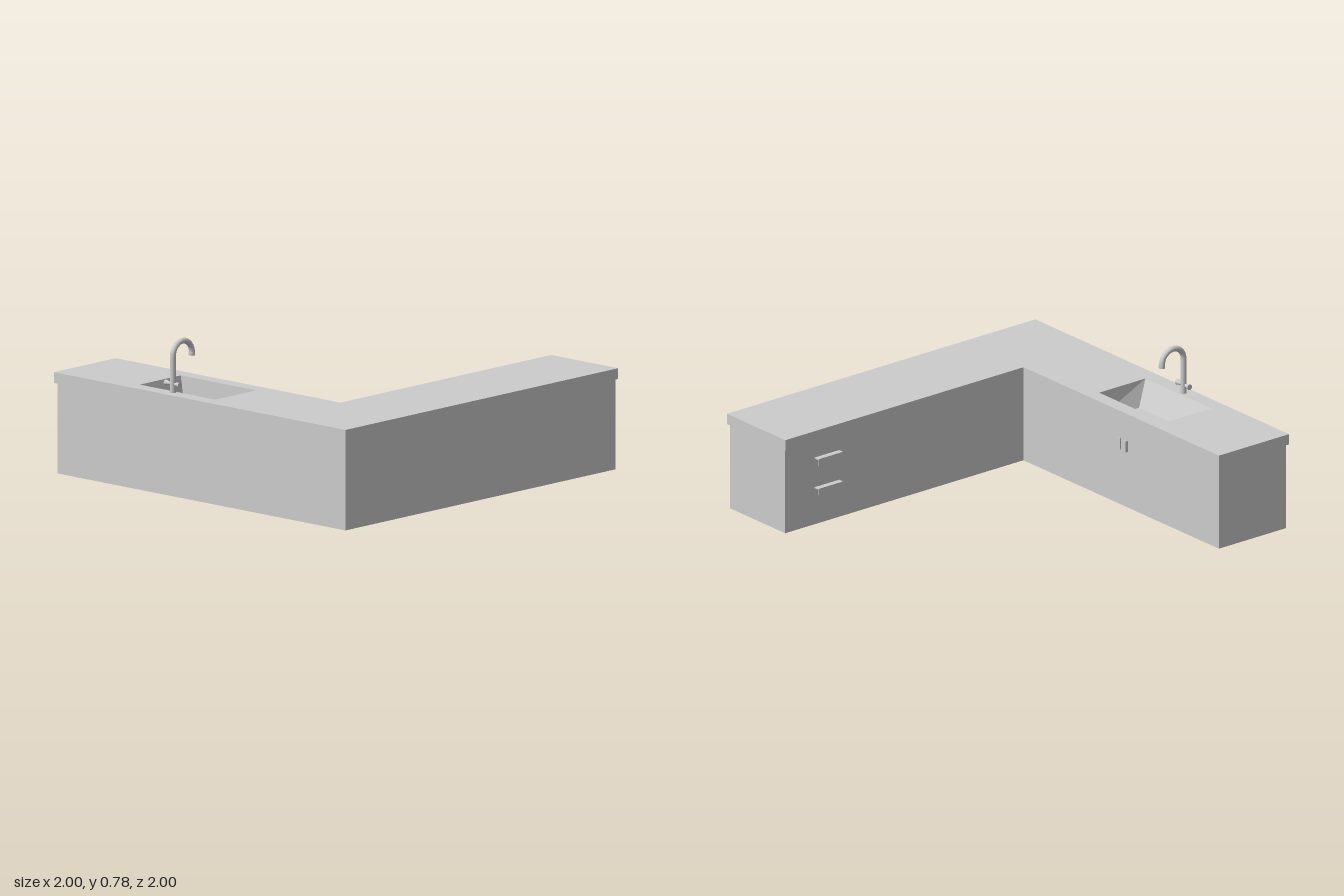
import * as THREE from 'three';

const COUNTER_TOP = 0.515, COUNTER_BOTTOM = 0.46, BASIN_FLOOR = 0.385;
const mat = new THREE.MeshStandardMaterial({ color: 0xcccccc });
const thinMat = new THREE.MeshStandardMaterial({ color: 0xcccccc, side: THREE.DoubleSide });

function add(parent, name, geometry, x = 0, y = 0, z = 0, material = mat) {
  const mesh = new THREE.Mesh(geometry, material);
  mesh.name = name;
  mesh.position.set(x, y, z);
  parent.add(mesh);
  return mesh;
}

// L-shaped outline as [x, z] pairs, anticlockwise seen from above
const outline = (endX, innerZ, innerX, endZ) =>
  [[-1, 1], [endX, 1], [endX, innerZ], [innerX, innerZ], [innerX, endZ], [-1, endZ]];

// Band of flat walls joining two matching outlines
function walls(a, ya, b, yb) {
  const pos = [];
  a.forEach((p, i) => {
    const j = (i + 1) % a.length;
    const v = [[p[0], ya, p[1]], [a[j][0], ya, a[j][1]], [b[j][0], yb, b[j][1]], [b[i][0], yb, b[i][1]]];
    for (const k of [0, 1, 2, 0, 2, 3]) pos.push(...v[k]);
  });
  const g = new THREE.BufferGeometry();
  g.setAttribute('position', new THREE.Float32BufferAttribute(pos, 3));
  g.computeVertexNormals();
  return g;
}

// Flat horizontal cap, facing up or down, with an optional hole
function cap(points, up, hole) {
  const s = up ? -1 : 1;
  const vecs = (list) => list.map(([x, z]) => new THREE.Vector2(x, s * z));
  const shape = new THREE.Shape(vecs(points));
  if (hole) shape.holes.push(new THREE.Path(vecs(hole)));
  return new THREE.ShapeGeometry(shape).rotateX(s * Math.PI / 2);
}

// Bent pull: a top plate with a lip hanging from its outer edge
function pullGeometry(length, depth, height, t) {
  const s = new THREE.Shape();
  s.moveTo(0, 0);
  s.lineTo(depth, 0);
  s.lineTo(depth, -height);
  s.lineTo(depth - t, -height);
  s.lineTo(depth - t, -t);
  s.lineTo(0, -t);
  s.closePath();
  return new THREE.ExtrudeGeometry(s, { depth: length, bevelEnabled: false }).translate(0, 0, -length / 2);
}

export function createModel() {
  const root = new THREE.Group();
  root.name = 'cornerKitchenCounter';

  const counter = outline(1, 0.54, -0.545, -1);
  const cabinet = outline(0.98, 0.565, -0.565, -0.975);
  const rim = [[-0.92, 0.035], [-0.62, 0.035], [-0.62, -0.485], [-0.92, -0.485]];
  const floor = [[-0.85, 0.0], [-0.625, 0.025], [-0.625, -0.46], [-0.85, -0.455]];

  // Worktop with the sink opening
  const worktop = new THREE.Group();
  worktop.name = 'worktop';
  root.add(worktop);
  add(worktop, 'worktopSurface', cap(counter, true, rim), 0, COUNTER_TOP, 0);
  add(worktop, 'worktopEdge', walls(counter, COUNTER_BOTTOM, counter, COUNTER_TOP));
  add(worktop, 'worktopUnderside', cap(counter, false, rim), 0, COUNTER_BOTTOM, 0);

  // Cabinet body
  const body = new THREE.Group();
  body.name = 'cabinet';
  root.add(body);
  add(body, 'cabinetWalls', walls(cabinet, 0, cabinet, COUNTER_BOTTOM));
  add(body, 'cabinetBase', cap(cabinet, false));

  // Sink basin with tapered sides
  const sink = new THREE.Group();
  sink.name = 'sink';
  root.add(sink);
  add(sink, 'basinWalls', walls(rim, COUNTER_TOP, floor, BASIN_FLOOR), 0, 0, 0, thinMat);
  add(sink, 'basinFloor', cap(floor, true), 0, BASIN_FLOOR, 0, thinMat);

  // Tap: upright post curving over into a hooked spout
  const tap = new THREE.Group();
  tap.name = 'tap';
  tap.position.set(-0.945, COUNTER_TOP, -0.235);
  root.add(tap);
  const path = new THREE.CurvePath();
  const bend = [];
  for (let i = 0; i <= 16; i++) {
    const a = Math.PI * (1 - i / 16);
    bend.push(new THREE.Vector3(0.07 + 0.07 * Math.cos(a), 0.185 + 0.07 * Math.sin(a), 0));
  }
  path.add(new THREE.LineCurve3(new THREE.Vector3(0, 0, 0), bend[0]));
  path.add(new THREE.CatmullRomCurve3(bend));
  add(tap, 'spout', new THREE.TubeGeometry(path, 48, 0.015, 16, false));
  add(tap, 'nozzle', new THREE.CylinderGeometry(0.0165, 0.0165, 0.018, 16), 0.14, 0.179, 0);

  // Flared tap knobs on both sides of the post
  for (const side of [-1, 1]) {
    const stem = new THREE.CylinderGeometry(0.015, 0.007, 0.035, 16).rotateX(side * Math.PI / 2);
    add(tap, 'tapKnob', stem, 0, 0.045, side * 0.0315);
  }

  // Drawer pulls on the long arm, facing the inner corner
  for (const y of [0.36, 0.2]) {
    const pull = add(root, 'drawerPull', pullGeometry(0.16, 0.032, 0.035, 0.005), 0.71, y, 0.566);
    pull.rotation.y = Math.PI / 2;
  }

  // Upright door pulls below the sink
  for (const [z, flip] of [[-0.206, 1], [-0.25, -1]]) {
    const pull = add(root, 'doorPull', pullGeometry(0.06, 0.017, 0.018, 0.005), -0.566, 0.33, z + flip * 0.009);
    pull.rotation.x = flip * Math.PI / 2;
    if (flip > 0) pull.position.z = z + 0.009;
    pull.rotation.x = flip > 0 ? Math.PI / 2 : -Math.PI / 2;
    // hang the lip towards the middle of each pull
    if (flip > 0) pull.position.z = z + 0.009;
  }
  return root;
}
